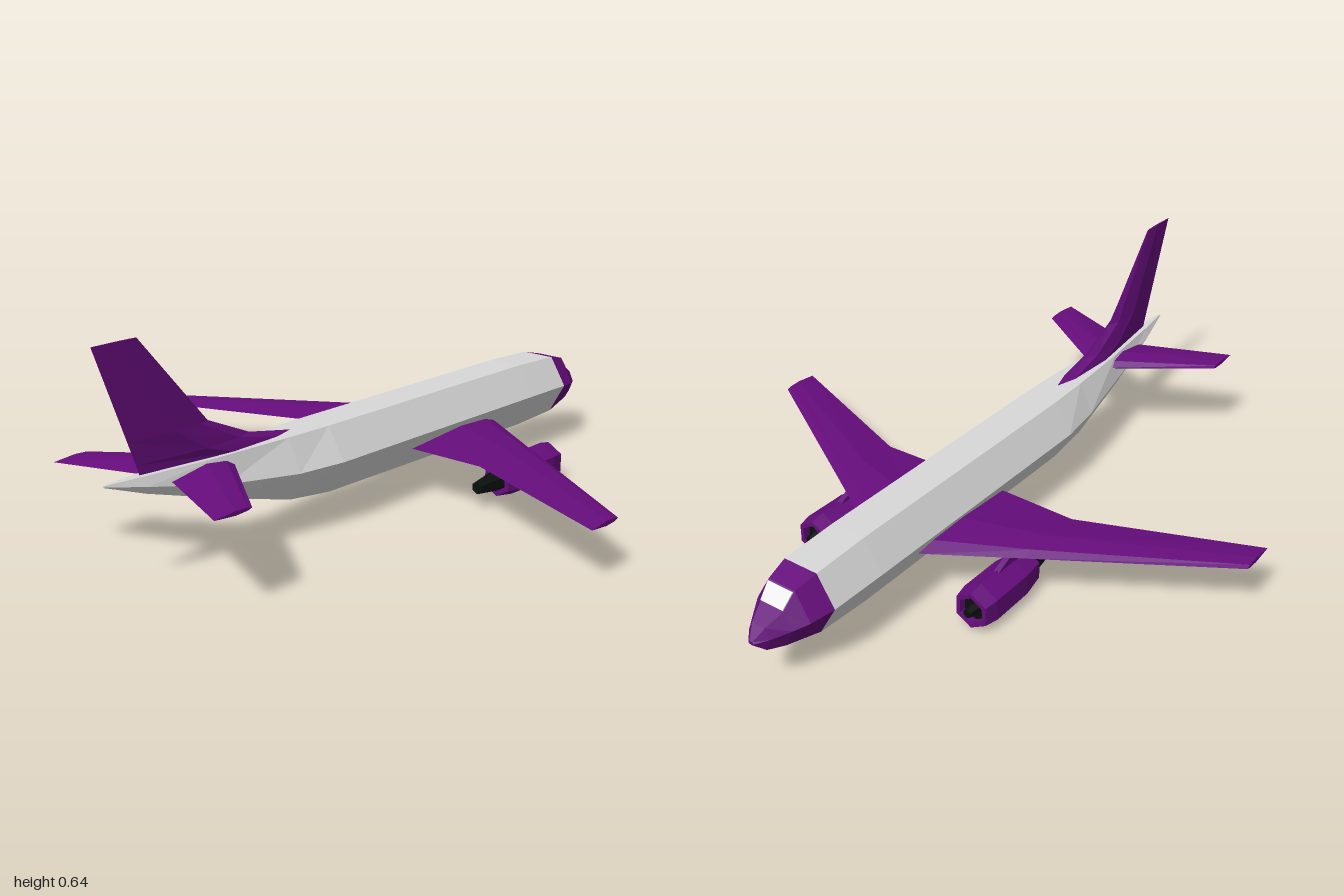
import * as THREE from 'three';

const material = (name, color) => {
  const m = new THREE.MeshStandardMaterial({ color });
  m.name = name;
  return m;
};

// Skin a row of closed rings, cap both ends, face outwards, keep flat facets
function loft(rings) {
  const n = rings[0].length;
  const v = (p) => new THREE.Vector3(...p);
  const tris = [];
  for (let i = 0; i < rings.length - 1; i++) {
    for (let j = 0; j < n; j++) {
      const k = (j + 1) % n;
      const a = v(rings[i][j]), b = v(rings[i][k]);
      const c = v(rings[i + 1][k]), d = v(rings[i + 1][j]);
      tris.push([a, b, c], [a, c, d]);
    }
  }
  for (const [ring, flip] of [[rings[0], true], [rings[rings.length - 1], false]]) {
    const mid = ring.reduce((s, p) => s.add(v(p)), new THREE.Vector3()).divideScalar(n);
    for (let j = 0; j < n; j++) {
      const a = v(ring[j]), b = v(ring[(j + 1) % n]);
      tris.push(flip ? [mid, b, a] : [mid, a, b]);
    }
  }
  // A negative enclosed volume means the rings ran the other way round
  const volume = tris.reduce((s, [a, b, c]) => s + a.dot(b.clone().cross(c)), 0);
  const points = tris.flatMap((t) => (volume < 0 ? [t[0], t[2], t[1]] : t));
  const geometry = new THREE.BufferGeometry().setFromPoints(points);
  geometry.computeVertexNormals();
  return geometry;
}

// Six-sided body section: flat top and bottom, widest at the middle
const bodyRing = ([z, bottom, middle, top, half, flat]) => [
  [flat, top, z], [half, middle, z], [flat, bottom, z],
  [-flat, bottom, z], [-half, middle, z], [-flat, top, z],
];

// Pointed-top hexagon around the z axis
const hexRing = ([z, r]) => Array.from({ length: 6 }, (_, k) => {
  const a = Math.PI / 2 + (k * Math.PI) / 3;
  return [r * Math.cos(a), r * Math.sin(a), z];
});

// Six-point aerofoil: [share of chord, share of half thickness]
const FOIL = [[0, 0], [0.13, 0.7], [0.45, 1], [1, 0], [0.45, -1], [0.13, -0.7]];

// Horizontal surface from stations [x, y, leading z, trailing z, half thickness]
const wingLoft = (stations, side) => loft(stations.map(([x, y, lead, trail, t]) =>
  FOIL.map(([c, h]) => [side * x, y + h * t, lead + c * (trail - lead)])));

// Upright surface from stations [y, leading z, trailing z, half thickness]
const finLoft = (stations) => loft(stations.map(([y, lead, trail, t]) =>
  FOIL.map(([c, h]) => [h * t, y, lead + c * (trail - lead)])));

export function createModel() {
  const purple = material('purple', 0x660d7c);
  const grey = material('light grey', 0xd8d8d8);
  const glass = material('pale glass', 0xe8e8e8);
  const black = material('black', 0x0a0f0c);

  const model = new THREE.Group();
  model.name = 'airliner';
  const add = (name, geometry, mat, parent = model) => {
    const mesh = new THREE.Mesh(geometry, mat);
    mesh.name = name;
    parent.add(mesh);
    return mesh;
  };

  // Fuselage: z, bottom, middle, top, half width, half width of the flats
  add('fuselage', loft([
    [-0.81, 0.102, 0.198, 0.287, 0.11, 0.055],
    [-0.63, 0.094, 0.2, 0.294, 0.113, 0.055],
    [0.26, 0.1, 0.2, 0.294, 0.113, 0.055],
    [0.41, 0.116, 0.201, 0.294, 0.094, 0.05],
    [0.64, 0.18, 0.222, 0.294, 0.055, 0.036],
    [0.87, 0.25, 0.27, 0.296, 0.026, 0.016],
    [0.985, 0.292, 0.294, 0.297, 0.003, 0.002],
  ].map(bodyRing)), grey);

  add('nose', loft([
    [-0.81, 0.102, 0.198, 0.287, 0.11, 0.055],
    [-0.88, 0.115, 0.19, 0.27, 0.092, 0.045],
    [-0.92, 0.122, 0.18, 0.227, 0.068, 0.039],
    [-0.97, 0.132, 0.17, 0.2, 0.036, 0.022],
    [-1, 0.158, 0.163, 0.168, 0.009, 0.005],
  ].map(bodyRing)), purple);

  // Windscreen: thin plate on the sloping face of the nose
  const pane = (lift) => [
    [-0.043, 0.267 + lift, -0.883 - lift], [0.043, 0.267 + lift, -0.883 - lift],
    [0.038, 0.229 + lift, -0.919 - lift], [-0.038, 0.229 + lift, -0.919 - lift],
  ];
  add('windscreen', loft([pane(-0.001), pane(0.002)]), glass);

  // Tail fin with its long dorsal fillet
  add('tailFin', finLoft([
    [0.28, 0.31, 0.87, 0.03],
    [0.292, 0.345, 0.875, 0.029],
    [0.323, 0.507, 0.885, 0.026],
    [0.388, 0.65, 0.908, 0.021],
    [0.645, 0.865, 1, 0.003],
  ]), purple);

  for (const side of [1, -1]) {
    const label = side > 0 ? 'left' : 'right';

    add(label + 'Wing', wingLoft([
      [0, 0.156, -0.505, -0.06, 0.027],
      [0.11, 0.156, -0.44, -0.06, 0.025],
      [0.335, 0.156, -0.3, -0.065, 0.018],
      [0.845, 0.156, 0.015, 0.135, 0.007],
    ], side), purple);

    add(label + 'Tailplane', wingLoft([
      [0, 0.266, 0.57, 0.79, 0.022],
      [0.05, 0.266, 0.605, 0.807, 0.02],
      [0.315, 0.267, 0.79, 0.91, 0.006],
    ], side), purple);

    // Engine hung ahead of the wing
    const engine = new THREE.Group();
    engine.name = label + 'Engine';
    engine.position.set(side * 0.285, 0.064, 0);
    model.add(engine);

    add('nacelle', loft([
      [-0.215, 0.05], [-0.29, 0.063], [-0.43, 0.064],
      [-0.475, 0.056], [-0.475, 0.042], [-0.45, 0.042],
    ].map(hexRing)), purple, engine);
    add('intake', loft([[-0.448, 0.0415], [-0.453, 0.0415]].map(hexRing)), black, engine);
    add('spinner', loft([[-0.45, 0.02], [-0.492, 0.013]].map(hexRing)), black, engine);
    add('exhaust', loft([[-0.22, 0.034], [-0.12, 0.019]].map(hexRing)), black, engine);

    // Pylon between the nacelle and the wing
    const strut = (y, front, back) => [
      [-0.008, y, front], [0.008, y, front], [0.008, y, back], [-0.008, y, back],
    ];
    add('pylon', loft([strut(0.035, -0.42, -0.22), strut(0.085, -0.3, -0.12)]), purple, engine);
  }
  return model;
}
